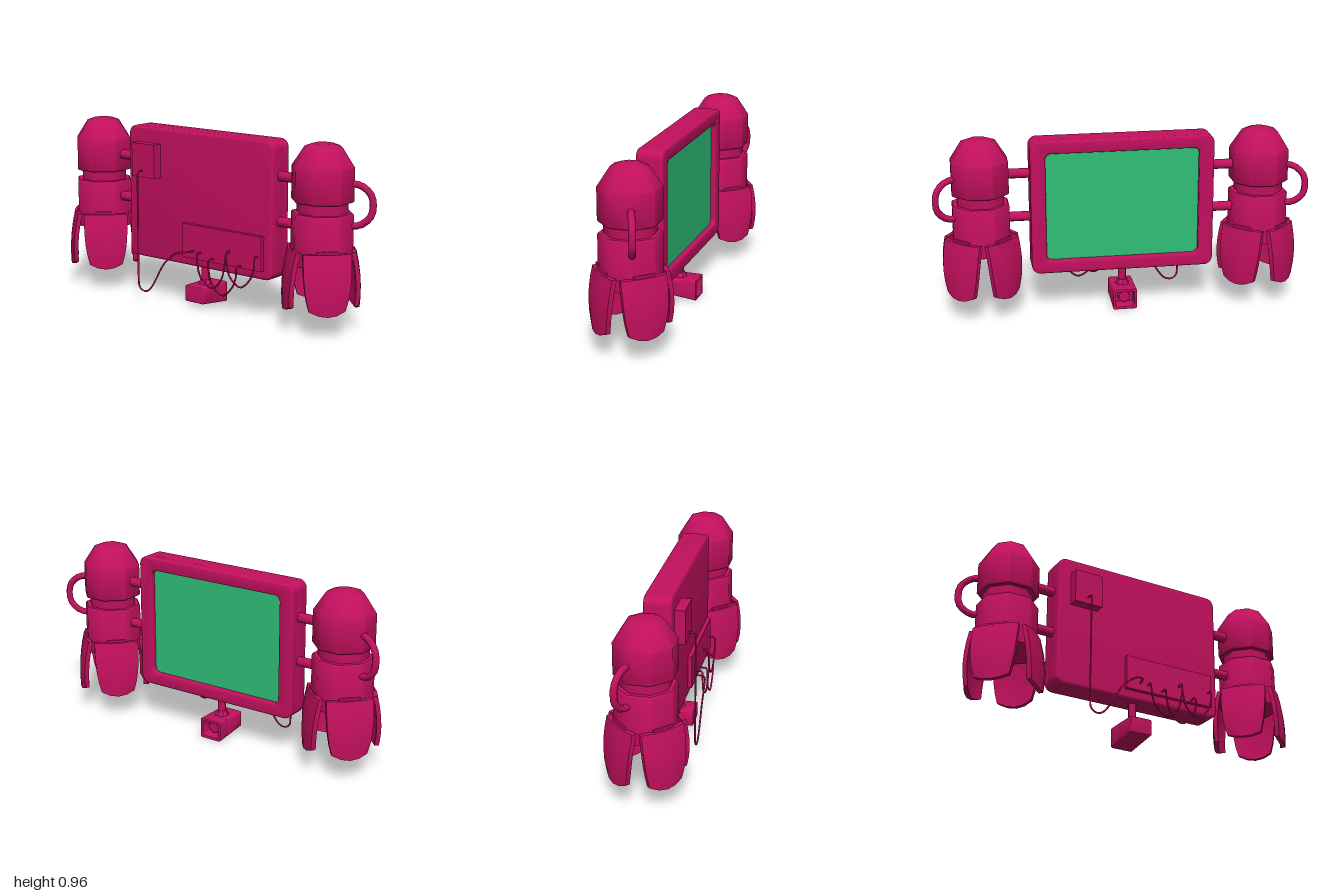
import * as THREE from 'three';
import { toCreasedNormals } from 'three/addons/utils/BufferGeometryUtils.js';

const shell = new THREE.MeshStandardMaterial({ color: 0xc2105e });
const glass = new THREE.MeshStandardMaterial({ color: 0x2fbf78 });
const V = (x, y, z) => new THREE.Vector3(x, y, z);

function add(parent, name, geo, pos = [0, 0, 0], mat = shell, crease = 0.6) {
  const mesh = new THREE.Mesh(toCreasedNormals(geo, crease), mat);
  mesh.name = name;
  mesh.position.set(...pos);
  parent.add(mesh);
  return mesh;
}

const box = (w, h, d) => new THREE.BoxGeometry(w, h, d);

// Rounded rectangle centred on the origin
function roundRect(w, h, r, Type = THREE.Shape) {
  const s = new Type(), x = w / 2, y = h / 2, q = Math.PI / 2;
  s.absarc(x - r, y - r, r, 0, q);
  s.absarc(-x + r, y - r, r, q, 2 * q);
  s.absarc(-x + r, -y + r, r, 2 * q, 3 * q);
  s.absarc(x - r, -y + r, r, 3 * q, 4 * q);
  s.closePath();
  return s;
}

// Bevelled slab spanning z0..z1, keeping its outline size
function slab(shape, z0, z1, bevel) {
  const geo = new THREE.ExtrudeGeometry(shape, {
    depth: z1 - z0 - 2 * bevel, curveSegments: 4, bevelEnabled: bevel > 0,
    bevelThickness: bevel, bevelSize: bevel, bevelOffset: -bevel, bevelSegments: 3,
  });
  return geo.translate(0, 0, z0 + bevel);
}

const tube = (points, radius, segs, sides, tension = 0.5) => new THREE.TubeGeometry(
  new THREE.CatmullRomCurve3(points, false, 'catmullrom', tension), segs, radius, sides);

// Leaf-shaped plate: narrows downward, bows outward, pointed lower edge
function finGeometry() {
  const geo = new THREE.BoxGeometry(2, 1, 1, 4, 5, 1);
  const p = geo.attributes.position;
  for (let i = 0; i < p.count; i++) {
    const u = p.getX(i), v = 0.5 - p.getY(i), inner = p.getZ(i) < 0;
    const bow = 1 - u * u;
    p.setXYZ(i,
      u * (0.122 - 0.03 * v ** 3),
      0.43 - v * (0.285 + 0.025 * bow),
      0.152 + 0.074 * v - 0.048 * v * v + 0.018 * bow - (inner ? 0.024 : 0));
  }
  return geo;
}

function makePod(side) {
  const pod = new THREE.Group();
  pod.name = side > 0 ? 'leftPod' : 'rightPod';
  pod.position.x = 0.75 * side;

  // Octagonal domed body with a groove round the middle; sizes are across the flats
  const k = 1 / Math.cos(Math.PI / 8);
  const profile = [[0, 0.35], [0.148, 0.35], [0.148, 0.608], [0.142, 0.615], [0.122, 0.615], [0.122, 0.67],
    [0.142, 0.67], [0.148, 0.677], [0.148, 0.845], [0.088, 0.945], [0.05, 0.96], [0, 0.96]]
    .map(([r, y]) => new THREE.Vector2(r * k, y));
  add(pod, 'podBody', new THREE.LatheGeometry(profile, 8, Math.PI / 8), [0, 0, 0], shell, 0.82);

  // Four diagonal fins with hinge blocks
  for (let i = 0; i < 4; i++) {
    const mount = new THREE.Group();
    mount.name = 'finMount';
    mount.rotation.y = Math.PI / 4 + i * Math.PI / 2;
    add(mount, 'fin', finGeometry());
    add(mount, 'finHinge', box(0.11, 0.045, 0.03), [0, 0.42, 0.142]);
    pod.add(mount);
  }

  // Grab handle on the outer side, turned toward the back
  const a = Math.PI / 8;
  const path = [[0.12, 0.765], [0.185, 0.76], [0.23, 0.73], [0.252, 0.69], [0.252, 0.625], [0.23, 0.585],
    [0.185, 0.555], [0.12, 0.55]].map(([r, y]) => V(side * r * Math.cos(a), y, -r * Math.sin(a)));
  add(pod, 'handle', tube(path, 0.018, 14, 8), [0, 0, 0], shell, 0.9);
  return pod;
}

function makeCamera() {
  const cam = new THREE.Group();
  cam.name = 'camera';
  cam.position.x = -0.005;

  // Housing with an open hood at the back; its underside rises toward the front
  const hood = roundRect(0.13, 0.113, 0.01);
  hood.holes.push(roundRect(0.1, 0.083, 0.006, THREE.Path));
  const parts = [['cameraHood', slab(hood, -0.11, -0.04, 0.003)],
    ['cameraHousing', slab(roundRect(0.13, 0.113, 0.01), -0.046, 0.095, 0.005)]];
  for (const [name, geo] of parts) {
    geo.translate(0, 0.0585, 0);
    const p = geo.attributes.position;
    for (let i = 0; i < p.count; i++) {
      if (p.getY(i) < 0.0585) p.setY(i, p.getY(i) + (p.getZ(i) + 0.11) * 0.12);
    }
    add(cam, name, geo);
  }
  add(cam, 'lens', new THREE.CylinderGeometry(0.03, 0.034, 0.035, 12).rotateX(-Math.PI / 2), [0, 0.062, -0.06]);

  // Mounting neck
  add(cam, 'neckBase', new THREE.CylinderGeometry(0.026, 0.04, 0.028, 8), [0, 0.127, 0]);
  add(cam, 'neck', new THREE.CylinderGeometry(0.021, 0.021, 0.11, 8), [0, 0.185, 0], shell, 0.9);
  return cam;
}

export function createModel() {
  const model = new THREE.Group();
  model.name = 'displayUnit';

  // Display casing: solid front shell and a raised frame round the screen at the back
  const cy = 0.585;
  add(model, 'casing', slab(roundRect(0.98, 0.73, 0.045), -0.042, 0.07, 0.015), [0, cy, 0]);
  const frame = roundRect(0.98, 0.73, 0.045);
  frame.holes.push(roundRect(0.82, 0.59, 0.03, THREE.Path));
  add(model, 'screenFrame', slab(frame, -0.075, -0.02, 0.01), [0, cy, 0]);
  add(model, 'screen', box(0.83, 0.6, 0.006), [0, cy, -0.043], glass);

  // Boxes on the front
  add(model, 'junctionBox', box(0.16, 0.185, 0.06), [-0.34, 0.772, 0.095]);
  add(model, 'connectorPanel', box(0.53, 0.185, 0.03), [0.175, 0.362, 0.077]);

  // Long cable from the junction box to the connector panel
  add(model, 'longCable', tube([V(-0.345, 0.715, 0.12), V(-0.345, 0.715, 0.15), V(-0.345, 0.69, 0.163),
    V(-0.345, 0.4, 0.163), V(-0.345, 0.12, 0.163), V(-0.33, 0.065, 0.163), V(-0.285, 0.057, 0.163),
    V(-0.24, 0.1, 0.163), V(-0.16, 0.23, 0.163), V(-0.08, 0.3, 0.16), V(-0.025, 0.312, 0.145),
    V(-0.008, 0.312, 0.09)], 0.005, 70, 6), [0, 0, 0], shell, 1.1);

  // Short looping cables: start, lowest point, end, distance from the casing
  const loops = [[0.04, 0.31, 0.14, 0.23, 0.34, 0.125], [0.125, 0.29, 0.115, 0.31, 0.28, 0.135],
    [0.235, 0.35, 0.175, 0.418, 0.345, 0.122]];
  for (const [x0, y0, low, x1, y1, z] of loops) {
    const w = x1 - x0;
    add(model, 'loopCable', tube([V(x0, y0, 0.085), V(x0, y0, z - 0.005), V(x0, y0 - 0.03, z),
      V(x0 + w * 0.12, low + 0.05, z), V(x0 + w * 0.5, low, z), V(x1 - w * 0.15, low + 0.05, z),
      V(x1, y1 - 0.05, z), V(x1, y1, z - 0.005), V(x1, y1, 0.085)], 0.005, 48, 6), [0, 0, 0], shell, 1.1);
  }

  // Side pods and the rods holding them
  for (const side of [-1, 1]) {
    model.add(makePod(side));
    for (const y of [0.765, 0.527]) {
      add(model, 'podRod', new THREE.CylinderGeometry(0.027, 0.027, 0.18, 8).rotateZ(Math.PI / 2),
        [0.555 * side, y, 0], shell, 0.9);
    }
  }

  model.add(makeCamera());
  return model;
}
